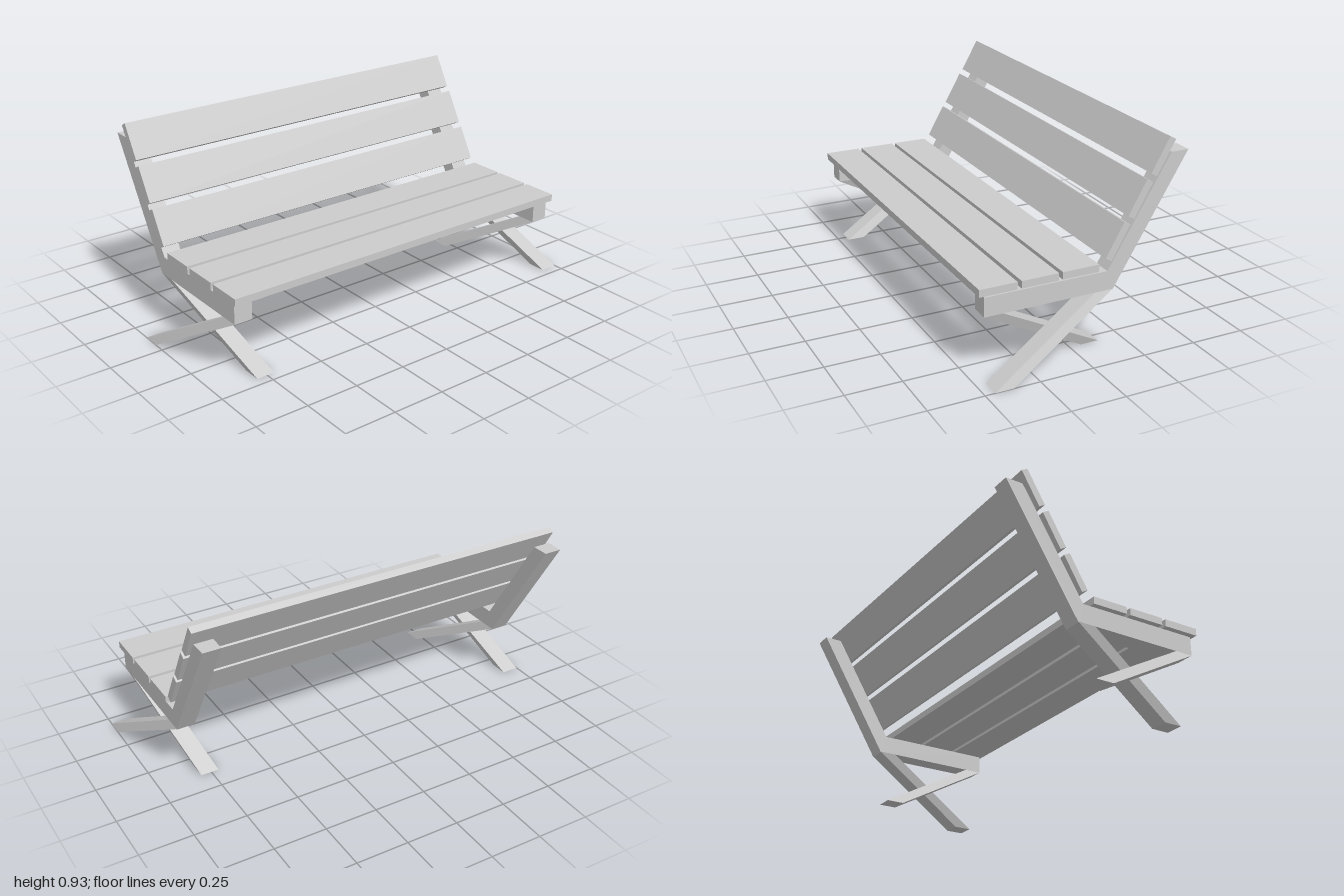
import * as THREE from 'three';

const material = new THREE.MeshStandardMaterial({ color: 0xcccccc, flatShading: true });
const SLAT_LENGTH = 1.82, SLAT_WIDTH = 0.17, SLAT_THICKNESS = 0.033;
const BEAM = 0.085, FRAME_Z = 0.857, FRAME_BOTTOM = 0.29;

function addMesh(parent, name, geometry) {
  const mesh = new THREE.Mesh(geometry, material);
  mesh.name = name;
  parent.add(mesh);
  return mesh;
}

// Bent side beam carrying the seat and the backrest
function frameGeometry() {
  const outline = [
    [-0.14, 0.287], [-0.135, FRAME_BOTTOM], [0.455, FRAME_BOTTOM], [0.455, 0.377],
    [-0.112, 0.377], [-0.4, 0.855], [-0.482, 0.855],
  ].map(([x, y]) => new THREE.Vector2(x, y));
  const geometry = new THREE.ExtrudeGeometry(new THREE.Shape(outline), { depth: BEAM, bevelEnabled: false });
  return geometry.translate(0, 0, -BEAM / 2);
}

// Leg sheared from its top position to its foot, with level ends
function legGeometry(topX, footX, footZ) {
  const geometry = new THREE.BoxGeometry(BEAM, FRAME_BOTTOM, BEAM);
  geometry.translate(0, FRAME_BOTTOM / 2, 0);
  const p = geometry.attributes.position;
  for (let i = 0; i < p.count; i++) {
    const t = 1 - p.getY(i) / FRAME_BOTTOM;
    p.setX(i, p.getX(i) + topX + (footX - topX) * t);
    p.setZ(i, p.getZ(i) + footZ * t);
  }
  geometry.computeVertexNormals();
  return geometry;
}

export function createModel() {
  const bench = new THREE.Group();
  bench.name = 'bench';

  // Side supports, each with a pair of crossed splayed legs
  const frontX = 0.4125, rearX = -0.0975, splay = 0.1;
  for (const [side, z] of [['left', FRAME_Z], ['right', -FRAME_Z]]) {
    const support = new THREE.Group();
    support.name = side + 'Support';
    support.position.z = z;
    addMesh(support, 'sideFrame', frameGeometry());
    addMesh(support, 'rearwardLeg', legGeometry(frontX, rearX, splay));
    addMesh(support, 'forwardLeg', legGeometry(rearX, frontX, -splay));
    bench.add(support);
  }

  // Seat slats
  for (let i = 0; i < 3; i++) {
    const slat = addMesh(bench, 'seatSlat' + (i + 1),
      new THREE.BoxGeometry(SLAT_WIDTH, SLAT_THICKNESS, SLAT_LENGTH));
    slat.position.set(0.02 + i * 0.1885, 0.404, 0);
  }

  // Reclined backrest slats
  for (let i = 0; i < 3; i++) {
    const slat = addMesh(bench, 'backSlat' + (i + 1),
      new THREE.BoxGeometry(SLAT_THICKNESS, SLAT_WIDTH, SLAT_LENGTH));
    slat.position.set(-0.151 - i * 0.1015, 0.506 + i * 0.17, 0);
    slat.rotation.z = THREE.MathUtils.degToRad(29.6);
  }

  return bench;
}
